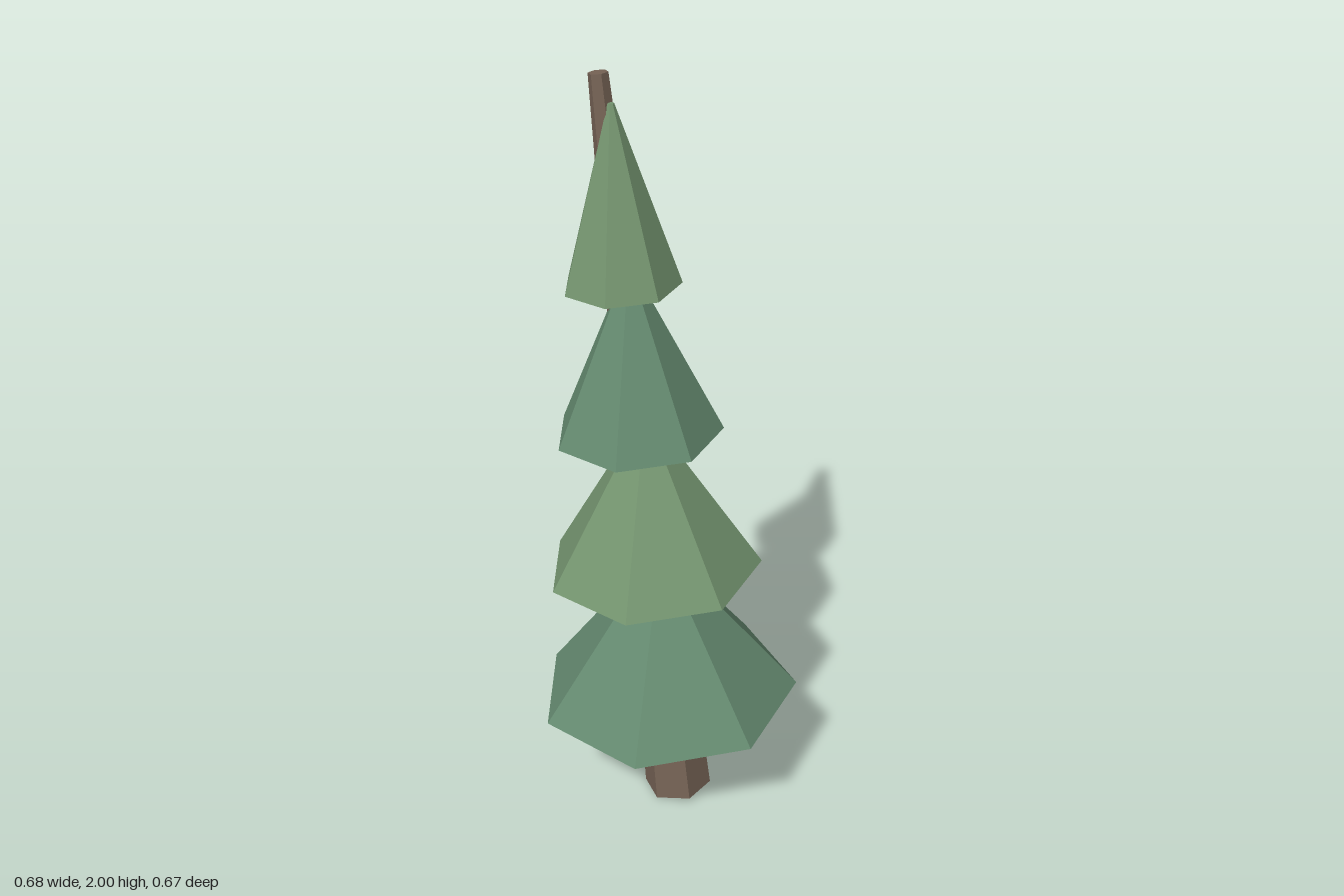
import * as THREE from 'three';

const Z = 0.016;          // the trunk axis sits slightly forward
const H = 0.44;           // height of every foliage tier
const BASE = new THREE.Vector3(0.036, 0.0095, Z);
const TOP = new THREE.Vector3(-0.2, 1.998, Z);

function material(color) {
  return new THREE.MeshStandardMaterial({ color, flatShading: true, side: THREE.DoubleSide });
}

export function createModel() {
  const tree = new THREE.Group();
  tree.name = 'leaningPineTree';

  // Six-sided tapering trunk, leaning towards -x
  const axis = TOP.clone().sub(BASE);
  const trunk = new THREE.Mesh(
    new THREE.CylinderGeometry(0.024, 0.092, axis.length(), 6),
    material(0x766355)
  );
  trunk.name = 'trunk';
  trunk.position.copy(BASE).add(TOP).multiplyScalar(0.5);
  trunk.rotation.z = Math.atan2(-axis.x, axis.y);
  tree.add(trunk);

  // Four hollow seven-sided tiers, open below with a tiny flat tip
  const greens = [material(0x64896f), material(0x74946f)];
  for (let i = 0; i < 4; i++) {
    const radius = 0.351 - 0.0683 * i;
    const profile = [[radius, 0], [0.008, H], [0, H]].map(([r, y]) => new THREE.Vector2(r, y));
    const tier = new THREE.Mesh(new THREE.LatheGeometry(profile, 7, Math.PI), greens[i % 2]);
    tier.name = `foliageTier${i + 1}`;
    tier.position.set(-0.001 - 0.0467 * i, 0.335 + 0.3867 * i, Z);
    tier.rotation.z = 0.052;
    tree.add(tier);
  }

  return tree;
}
